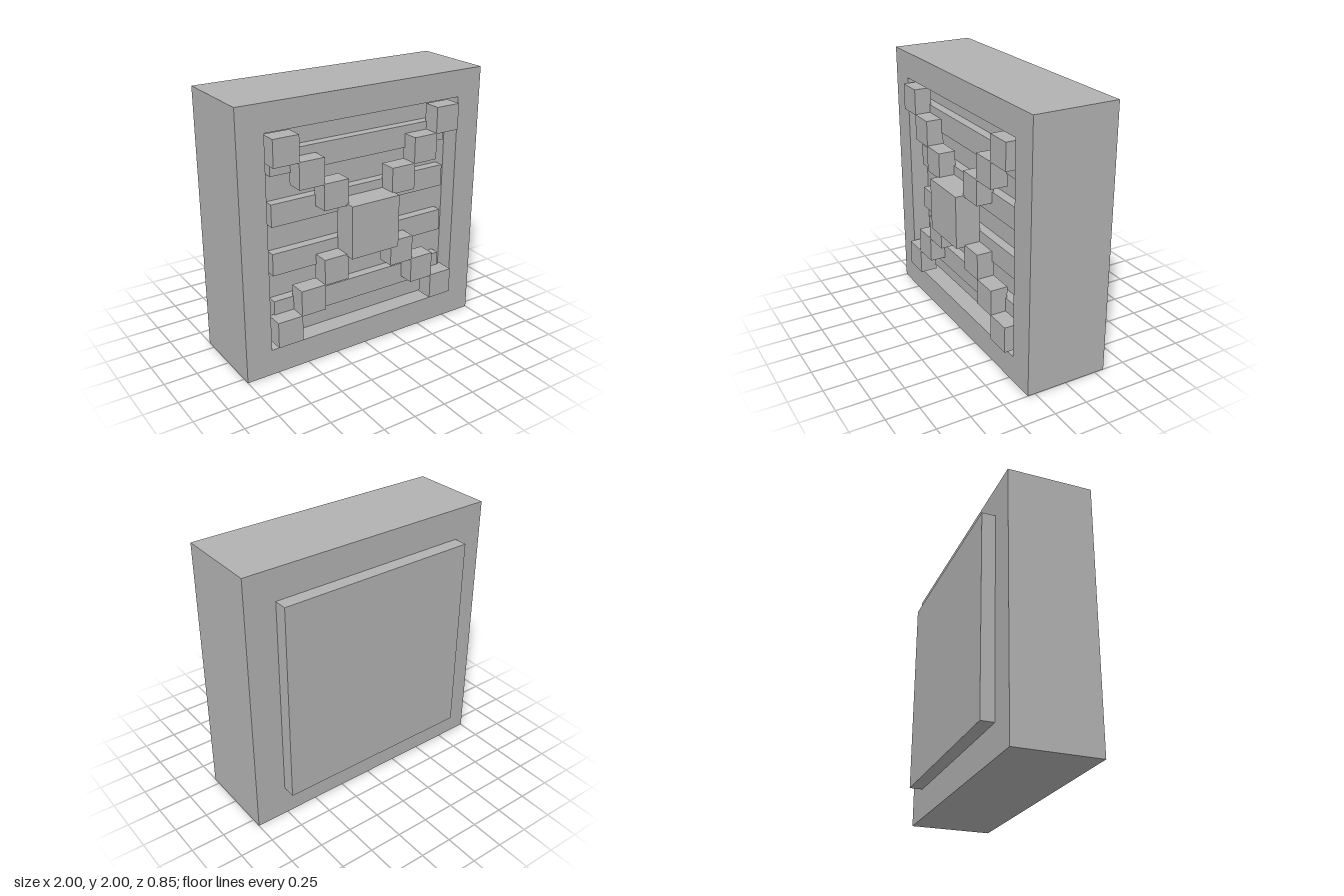
import * as THREE from 'three';

export function createModel() {
  const model = new THREE.Group();
  const grey = new THREE.MeshStandardMaterial({ color: 0xb2b2b2 });
  grey.name = 'plain grey';

  // Depth planes from back to front
  const BACK = -0.325, FLOOR = 0.167, BAR = 0.237, FRONT = 0.308;

  // Box centred at (x, y), spanning z0..z1
  function box(name, w, h, z0, z1, x = 0, y = 1) {
    const mesh = new THREE.Mesh(new THREE.BoxGeometry(w, h, z1 - z0), grey);
    mesh.position.set(x, y, (z0 + z1) / 2);
    mesh.name = name;
    model.add(mesh);
  }

  // Square outline centred on the origin
  function square(PathType, s) {
    const p = new PathType();
    p.moveTo(-s, -s);
    p.lineTo(s, -s);
    p.lineTo(s, s);
    p.lineTo(-s, s);
    p.closePath();
    return p;
  }

  // Main block, with a square frame around the recess
  box('mainBlock', 2, 2, BACK, FLOOR);
  const outline = square(THREE.Shape, 1);
  outline.holes.push(square(THREE.Path, 0.8));
  const frame = new THREE.Mesh(
    new THREE.ExtrudeGeometry(outline, { depth: FRONT - FLOOR, bevelEnabled: false }), grey);
  frame.position.set(0, 1, FLOOR);
  frame.name = 'frontFrame';
  model.add(frame);

  // Raised panel on the back
  box('backPanel', 1.535, 1.535, -0.425, BACK);

  // Four horizontal bars in the recess
  for (let i = 0; i < 4; i++) {
    box('horizontalBar', 1.464, 0.167, FLOOR, BAR, 0, 0.452 + i * 0.367);
  }

  // Diagonal rows of blocks running from the centre to each corner
  for (const sx of [-1, 1]) {
    for (const sy of [-1, 1]) {
      for (const d of [0.285, 0.477, 0.669]) {
        box('diagonalBlock', 0.197, 0.197, 0.225, 0.357, sx * d, 1 + sy * d);
      }
    }
  }

  // Large central block
  box('centreBlock', 0.4, 0.4, 0.232, 0.425);

  return model;
}
